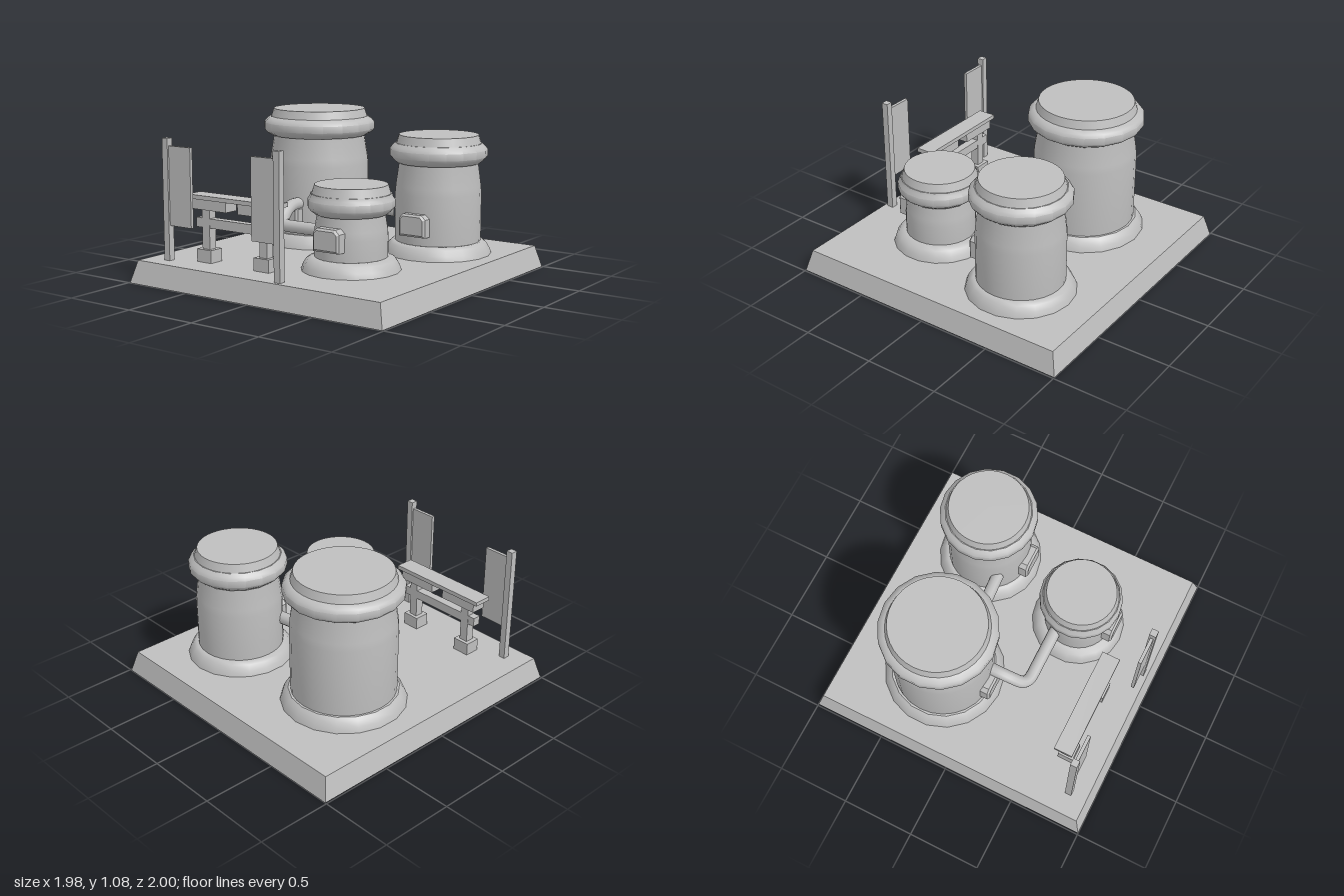
import * as THREE from 'three';
import { toCreasedNormals } from 'three/addons/utils/BufferGeometryUtils.js';

const grey = new THREE.MeshStandardMaterial({ color: 0xbebebe });
grey.name = 'plain grey';

const GROUND = 0.15;

function add(parent, name, geometry, x = 0, y = 0, z = 0) {
  const mesh = new THREE.Mesh(geometry, grey);
  mesh.name = name;
  mesh.position.set(x, y, z);
  parent.add(mesh);
  return mesh;
}

// Box given by its lower and upper limits on each axis
function block(parent, name, x0, x1, y0, y1, z0, z1) {
  return add(parent, name, new THREE.BoxGeometry(x1 - x0, y1 - y0, z1 - z0),
    (x0 + x1) / 2, (y0 + y1) / 2, (z0 + z1) / 2);
}

function lathe(points, sides) {
  const profile = points.map(([r, y]) => new THREE.Vector2(r, y));
  return toCreasedNormals(new THREE.LatheGeometry(profile, sides), 0.7);
}

// Square slab with sloping sides
function makeBase() {
  const g = new THREE.BoxGeometry(1.98, GROUND, 2).toNonIndexed();
  const p = g.attributes.position;
  for (let i = 0; i < p.count; i++) {
    if (p.getY(i) > 0) p.setXYZ(i, Math.sign(p.getX(i)) * 0.95, p.getY(i), Math.sign(p.getZ(i)) * 0.96);
  }
  g.computeVertexNormals();
  return g;
}

// Bevelled hatch with clipped upper corners
function makeDoor() {
  const w = 0.085, h = 0.06, c = 0.02, b = 0.014;
  const s = new THREE.Shape();
  s.moveTo(-w, -h);
  s.lineTo(w, -h);
  s.lineTo(w, h - c);
  s.lineTo(w - c, h);
  s.lineTo(c - w, h);
  s.lineTo(-w, h - c);
  s.closePath();
  return new THREE.ExtrudeGeometry(s, {
    depth: 0.08, bevelEnabled: true, bevelThickness: b, bevelSize: b, bevelSegments: 1,
  });
}

// Storage tank: foot ring, barrel, collar, lid and front hatch
function makeTank(name, x, z, r, foot, collar, lid, top, shoulder) {
  const tank = new THREE.Group();
  tank.name = name;
  tank.position.set(x, 0, z);
  const neck = r * 0.9;
  const rim = top - 0.055;
  const under = top - 0.185;

  add(tank, 'footRing', lathe([
    [foot, GROUND], [foot - 0.012, 0.185], [foot - 0.035, 0.22],
    [r + 0.015, 0.237], [r - 0.02, 0.237],
  ], 18));
  add(tank, 'barrel', lathe([
    [r * 0.985, GROUND], [r, 0.27], [r, shoulder - 0.05], [r * 0.985, shoulder],
    [neck, under + 0.03], [neck, rim],
  ], 28));
  add(tank, 'collar', lathe([
    [neck - 0.02, under], [neck + 0.02, under], [collar - 0.015, under + 0.025],
    [collar, under + 0.045], [collar, under + 0.09], [collar - 0.015, under + 0.11],
    [lid + 0.025, rim], [lid - 0.02, rim],
  ], 18));
  add(tank, 'lid', new THREE.CylinderGeometry(lid, lid + 0.025, 0.08, 36), 0, top - 0.04, 0);
  add(tank, 'door', makeDoor(), 0, 0.375, r - 0.044);
  return tank;
}

function makePipe(points) {
  const path = new THREE.CurvePath();
  const v = points.map((p) => new THREE.Vector3(...p));
  // Straight runs joined by short rounded elbows
  let from = v[0];
  for (let i = 1; i < v.length - 1; i++) {
    const cut = (other) => v[i].clone().lerp(other, Math.min(0.45, 0.08 / v[i].distanceTo(other)));
    const a = cut(v[i - 1]), b = cut(v[i + 1]);
    path.add(new THREE.LineCurve3(from, a));
    path.add(new THREE.QuadraticBezierCurve3(a, v[i], b));
    from = b;
  }
  path.add(new THREE.LineCurve3(from, v[v.length - 1]));
  return new THREE.TubeGeometry(path, 40, 0.042, 12);
}

// Post with a hanging panel; dir is the side the panel points to
function makeSign(name, x, z, dir) {
  const sign = new THREE.Group();
  sign.name = name;
  sign.position.set(x, 0, z);
  block(sign, 'signPost', -0.023, 0.023, GROUND, 0.953, -0.023, 0.023);
  add(sign, 'signPanel', new THREE.BoxGeometry(0.185, 0.522, 0.022), dir * 0.113, 0.643, 0);
  return sign;
}

// Plank rack on two footed posts
function makeRack() {
  const rack = new THREE.Group();
  rack.name = 'rack';
  rack.position.set(-0.314, 0, 0.71);
  block(rack, 'topPlank', -0.363, 0.363, 0.562, 0.59, -0.063, 0.063);
  block(rack, 'crossRail', -0.32, 0.32, 0.375, 0.437, -0.028, 0.028);
  for (const s of [-1, 1]) {
    const x = s * 0.237;
    block(rack, 'foot', x - 0.06, x + 0.06, GROUND, 0.235, -0.053, 0.053);
    block(rack, 'post', x - 0.031, x + 0.031, 0.2, 0.52, -0.03, 0.03);
    add(rack, 'capBeam', new THREE.BoxGeometry(0.28, 0.067, 0.104), s * 0.188, 0.529, 0);
  }
  return rack;
}

export function createModel() {
  const model = new THREE.Group();
  model.name = 'tankYard';

  add(model, 'base', makeBase(), 0, GROUND / 2, 0);

  model.add(
    makeTank('largeTank', -0.41, -0.305, 0.345, 0.413, 0.386, 0.317, 1.08, 0.75),
    makeTank('mediumTank', 0.497, -0.415, 0.289, 0.36, 0.326, 0.265, 0.945, 0.61),
    makeTank('smallTank', 0.327, 0.357, 0.235, 0.32, 0.278, 0.233, 0.695, 0.42),
  );

  add(model, 'rearPipe', makePipe([
    [-0.14, 0.53, -0.215], [-0.04, 0.52, -0.22], [0.04, 0.445, -0.225], [0.28, 0.43, -0.243],
  ]));
  add(model, 'frontPipe', makePipe([
    [-0.345, 0.455, -0.02], [-0.345, 0.455, 0.13], [-0.31, 0.35, 0.275], [0.17, 0.35, 0.275],
  ]));

  model.add(makeRack());
  model.add(makeSign('rightSign', -0.79, 0.832, 1), makeSign('leftSign', 0.185, 0.913, -1));
  return model;
}
